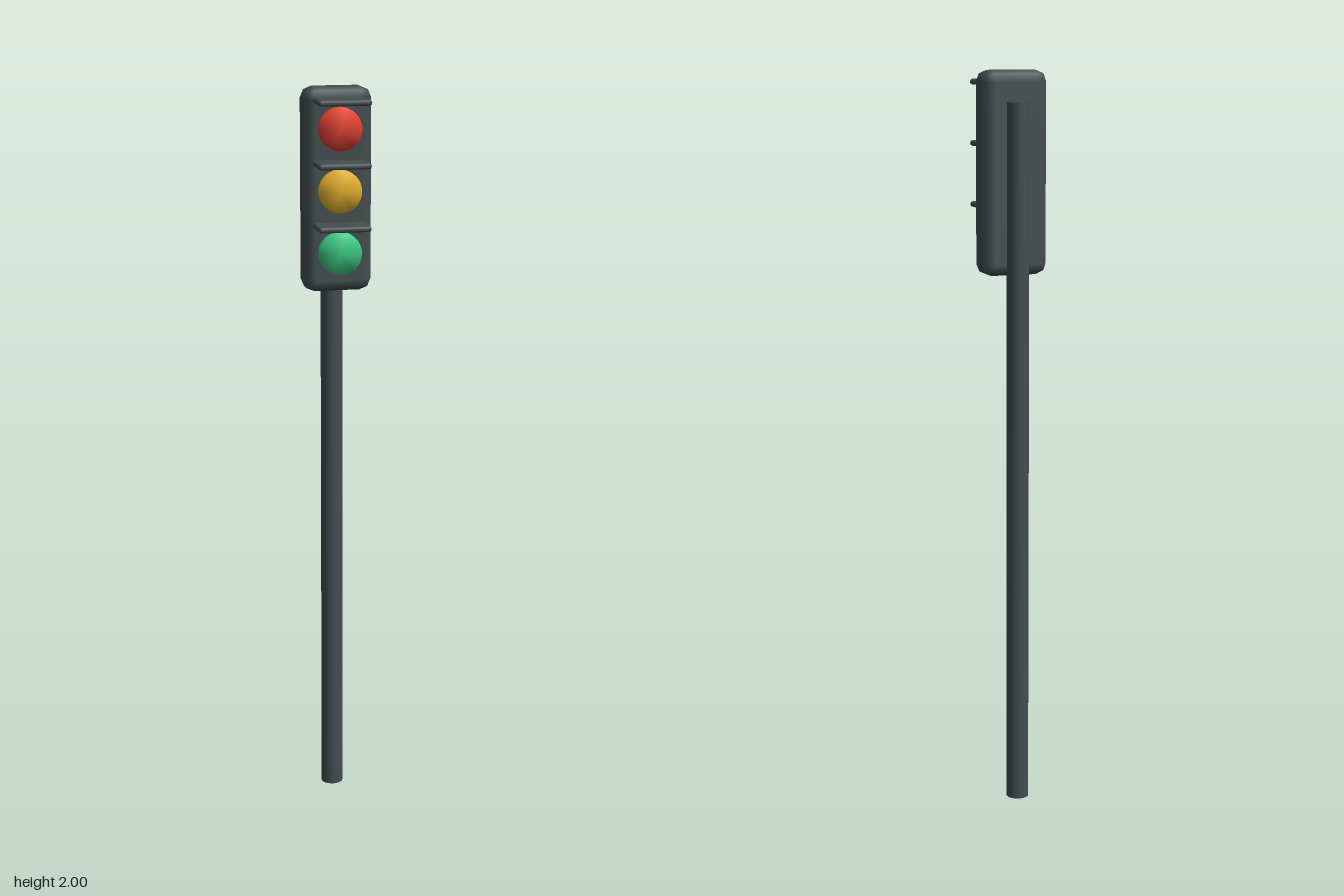
import * as THREE from 'three';
import { mergeVertices } from 'three/addons/utils/BufferGeometryUtils.js';
import { RoundedBoxGeometry } from 'three/addons/geometries/RoundedBoxGeometry.js';

// Cylinder whose normals blend softly from the side into the caps
function softCylinder(radius, height, sides) {
  const source = new THREE.CylinderGeometry(radius, radius, height, sides);
  source.deleteAttribute('normal');
  source.deleteAttribute('uv');
  const geometry = mergeVertices(source);
  geometry.computeVertexNormals();
  return geometry;
}

export function createModel() {
  const model = new THREE.Group();
  model.name = 'trafficLight';
  const metal = new THREE.MeshStandardMaterial({ color: 0x434d50 });

  function add(name, geometry, material, x, y, z) {
    const mesh = new THREE.Mesh(geometry, material);
    mesh.name = name;
    mesh.position.set(x, y, z);
    model.add(mesh);
    return mesh;
  }

  // Pole, running up behind the housing
  add('pole', softCylinder(0.03, 1.917, 32), metal, 0, 1.917 / 2, -0.079);

  // Signal housing with bevelled edges
  add('housing', new RoundedBoxGeometry(0.184, 0.54, 0.097, 1, 0.03), metal, 0, 1.73, -0.0265);

  // Three lenses, each under a flat visor
  const lensGeometry = softCylinder(0.057, 0.05, 32);
  const visorGeometry = new RoundedBoxGeometry(0.141, 0.015, 0.107, 1, 0.007);
  const lamps = [
    ['red', 0xe0402f, 1.894],
    ['yellow', 0xe0ac2b, 1.731],
    ['green', 0x3cc880, 1.567],
  ];
  for (const [name, color, y] of lamps) {
    const lens = add(name + 'Lens', lensGeometry, new THREE.MeshStandardMaterial({ color }), 0, y, 0.02);
    lens.rotation.x = Math.PI / 2;
    add(name + 'Visor', visorGeometry, metal, 0, y + 0.073, 0.0535);
  }

  return model;
}
